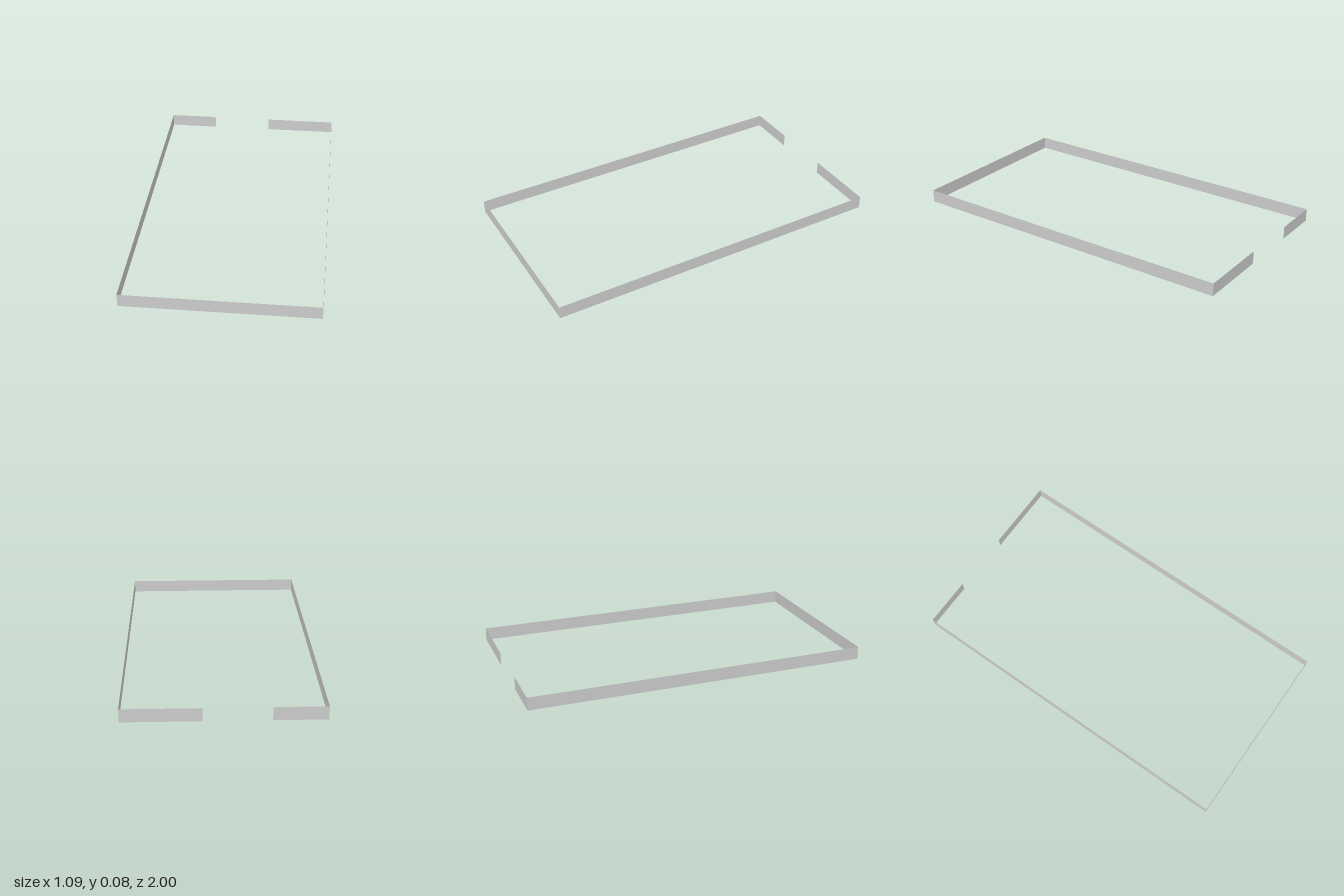
import * as THREE from 'three';

const HALF_WIDTH = 0.545;
const HALF_DEPTH = 1;
const HEIGHT = 0.075;
const GAP = [-0.253, 0.113]; // doorway in the back wall, along x

export function createModel() {
  const group = new THREE.Group();
  group.name = 'wallOutline';
  const material = new THREE.MeshStandardMaterial({
    color: 0xcccccc, flatShading: true, side: THREE.DoubleSide,
  });

  // Thin upright wall between two floor points, facing the right of its run
  function addWall(name, [x0, z0], [x1, z1]) {
    const dx = x1 - x0, dz = z1 - z0;
    const wall = new THREE.Mesh(new THREE.PlaneGeometry(Math.hypot(dx, dz), HEIGHT), material);
    wall.name = name;
    wall.position.set((x0 + x1) / 2, HEIGHT / 2, (z0 + z1) / 2);
    wall.rotation.y = Math.atan2(-dz, dx);
    group.add(wall);
  }

  // Closed front and sides
  addWall('frontWall', [-HALF_WIDTH, HALF_DEPTH], [HALF_WIDTH, HALF_DEPTH]);
  addWall('leftWall', [HALF_WIDTH, HALF_DEPTH], [HALF_WIDTH, -HALF_DEPTH]);
  addWall('rightWall', [-HALF_WIDTH, -HALF_DEPTH], [-HALF_WIDTH, HALF_DEPTH]);

  // Back wall on both sides of the doorway
  addWall('backWallLeft', [HALF_WIDTH, -HALF_DEPTH], [GAP[1], -HALF_DEPTH]);
  addWall('backWallRight', [GAP[0], -HALF_DEPTH], [-HALF_WIDTH, -HALF_DEPTH]);

  return group;
}
